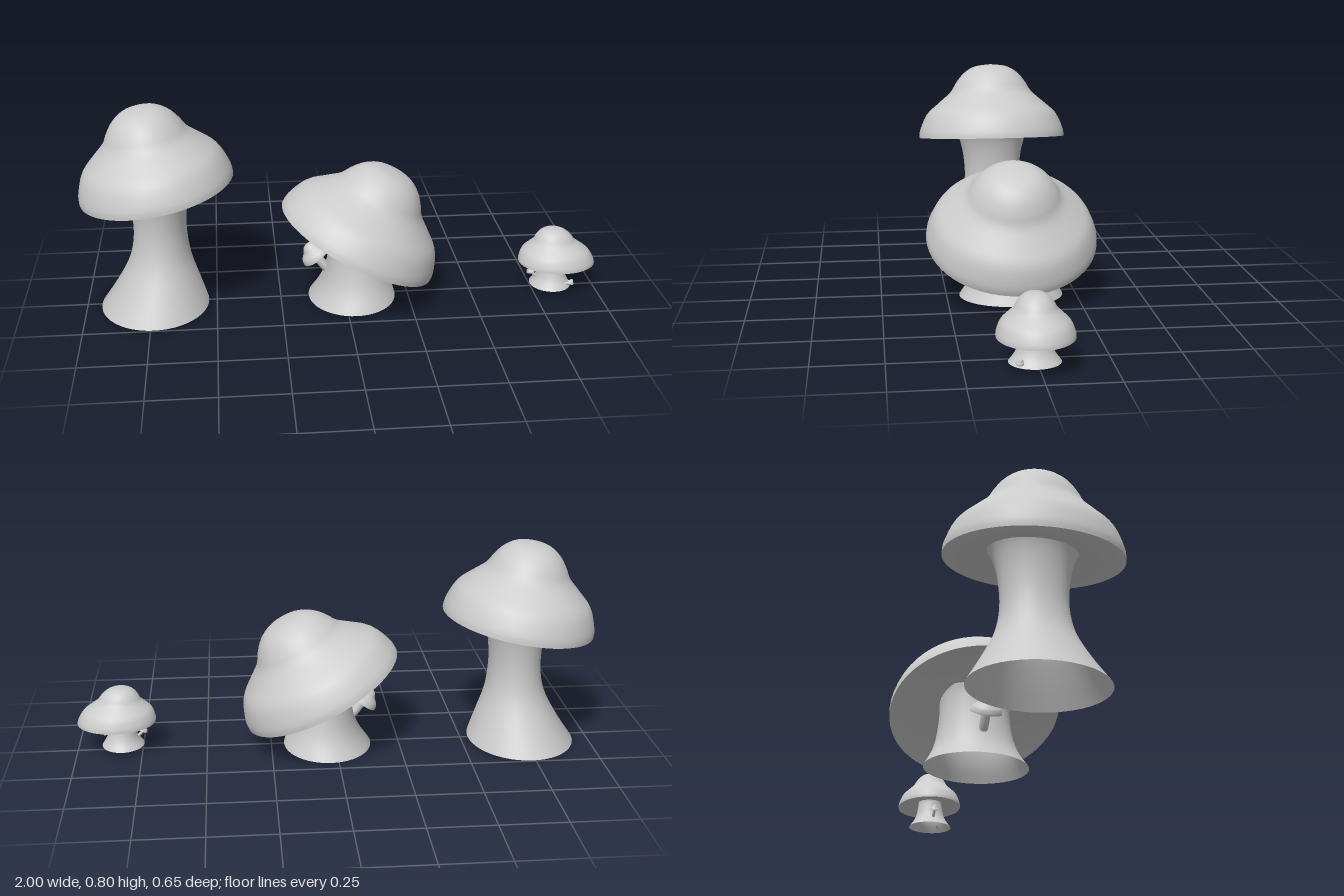
import * as THREE from 'three';

const material = new THREE.MeshStandardMaterial({ color: 0xcccccc, side: THREE.DoubleSide });
const v2 = ([x, y]) => new THREE.Vector2(x, y);

// Unit cap outline: radius 1 at the rim, apex at height 1
const CAP = [[1, 0], [0.985, 0.11], [0.89, 0.32], [0.73, 0.47], [0.56, 0.62],
  [0.475, 0.755], [0.37, 0.88], [0.22, 0.97], [0, 1]];
// Shallow hollow underside
const GILLS = [[0, 0.11], [0.5, 0.1], [0.8, 0.06], [1, 0]];

function lathe(points, steps, segments) {
  const profile = new THREE.SplineCurve(points.map(v2)).getPoints(steps);
  profile.forEach(p => { p.x = Math.max(p.x, 0); });
  return new THREE.LatheGeometry(profile, segments);
}

function addMesh(parent, name, geometry) {
  const mesh = new THREE.Mesh(geometry, material);
  mesh.name = name;
  parent.add(mesh);
  return mesh;
}

// Bell-shaped cap; skew slides the apex sideways over the rim
function addCap(parent, { at, size, tilt = 0, skew = 0, segments = 56 }) {
  const cap = new THREE.Group();
  cap.name = 'cap';
  for (const [name, points] of [['capTop', CAP], ['capUnderside', GILLS]]) {
    const geometry = lathe(points, 28, segments);
    geometry.scale(...size);
    const pos = geometry.attributes.position;
    for (let i = 0; i < pos.count; i++) {
      pos.setX(i, pos.getX(i) + skew * pos.getY(i) / size[1]);
    }
    geometry.computeBoundingSphere();
    addMesh(cap, name, geometry);
  }
  cap.position.set(...at);
  cap.rotation.z = tilt;
  parent.add(cap);
}

// Flared open stem of [radius, height] points, leaning sideways as it rises
function addStem(parent, { at, profile, depth, lean = 0, leanHeight = 1 }) {
  const geometry = lathe(profile, 24, 48);
  geometry.scale(1, 1, depth);
  const pos = geometry.attributes.position;
  for (let i = 0; i < pos.count; i++) {
    const t = Math.min(1, pos.getY(i) / leanHeight);
    pos.setX(i, pos.getX(i) + lean * t * (2 - t));
  }
  addMesh(parent, 'stem', geometry).position.set(...at);
}

// Tiny sprout: curved stalk growing from a stem, with a tilted cap
function addSprout(parent, { path, thickness, radius, height, tilt }) {
  const sprout = new THREE.Group();
  sprout.name = 'sprout';
  const curve = new THREE.CatmullRomCurve3(path.map(p => new THREE.Vector3(...p)));
  addMesh(sprout, 'sproutStalk', new THREE.TubeGeometry(curve, 12, thickness, 14));
  addCap(sprout, { at: path[path.length - 1], size: [radius, height, radius], tilt, segments: 28 });
  parent.add(sprout);
}

function addMushroom(parent, name, stem, cap, sprouts = []) {
  const group = new THREE.Group();
  group.name = name;
  addStem(group, stem);
  addCap(group, cap);
  sprouts.forEach(s => addSprout(group, s));
  parent.add(group);
}

export function createModel() {
  const model = new THREE.Group();
  model.name = 'mushrooms';

  addMushroom(model, 'tallMushroom',
    {
      at: [-0.738, 0, 0], depth: 1.18, lean: 0.033, leanHeight: 0.3,
      profile: [[0.207, 0], [0.158, 0.1], [0.117, 0.2], [0.101, 0.3], [0.105, 0.4], [0.12, 0.48], [0.14, 0.53]],
    },
    { at: [-0.71, 0.485, 0], size: [0.293, 0.315, 0.315], tilt: 0.154 });

  addMushroom(model, 'leaningMushroom',
    {
      at: [0.03, 0, 0], depth: 1.18, lean: 0.025, leanHeight: 0.2,
      profile: [[0.17, 0], [0.142, 0.06], [0.126, 0.12], [0.116, 0.2], [0.115, 0.27], [0.12, 0.31]],
    },
    { at: [0.05, 0.2325, 0], size: [0.325, 0.318, 0.327], tilt: -0.47 },
    [{
      path: [[-0.03, 0.085, 0], [-0.075, 0.125, 0], [-0.098, 0.155, 0], [-0.108, 0.17, 0]],
      thickness: 0.018, radius: 0.06, height: 0.062, tilt: 0.63,
    }]);

  addMushroom(model, 'smallMushroom',
    {
      at: [0.825, 0.017, 0.012], depth: 1.1, lean: 0.003, leanHeight: 0.1,
      profile: [[0.081, 0], [0.062, 0.03], [0.052, 0.06], [0.046, 0.1], [0.048, 0.12]],
    },
    { at: [0.846, 0.113, 0.012], size: [0.15, 0.142, 0.132], skew: -0.021 },
    [
      {
        path: [[0.785, 0.045, 0.012], [0.762, 0.053, 0.012], [0.748, 0.07, 0.012]],
        thickness: 0.006, radius: 0.019, height: 0.022, tilt: 0.4,
      },
      {
        path: [[0.86, 0.033, 0.05], [0.88, 0.034, 0.063], [0.893, 0.037, 0.07]],
        thickness: 0.005, radius: 0.014, height: 0.018, tilt: -0.5,
      },
    ]);

  return model;
}
